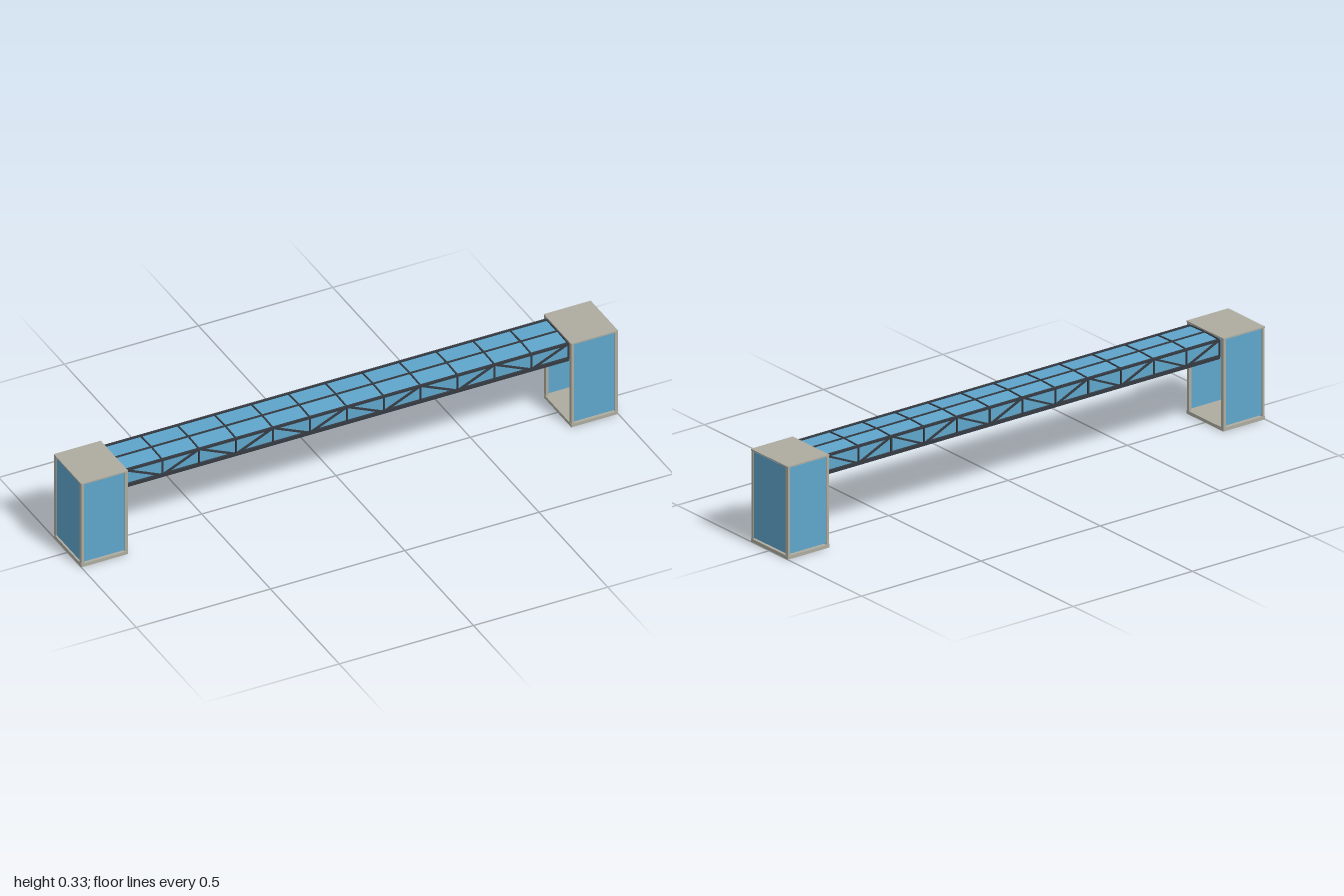
import * as THREE from 'three';

const concrete = new THREE.MeshStandardMaterial({ color: 0xaeaca0 });
concrete.name = 'concrete';
const glass = new THREE.MeshStandardMaterial({ color: 0x5fa5cb, side: THREE.DoubleSide });
glass.name = 'blue glass';
const steel = new THREE.MeshStandardMaterial({ color: 0x353a42 });
steel.name = 'dark steel';
const deck = new THREE.MeshStandardMaterial({ color: 0x4d535e });
deck.name = 'slate deck';

function box(parent, name, material, size, position) {
  const mesh = new THREE.Mesh(new THREE.BoxGeometry(...size), material);
  mesh.name = name;
  mesh.position.set(...position);
  parent.add(mesh);
  return mesh;
}

// Square bar running between two points
function bar(parent, name, a, b, thickness) {
  const from = new THREE.Vector3(...a), to = new THREE.Vector3(...b);
  const mesh = box(parent, name, steel, [thickness, thickness, from.distanceTo(to)], [0, 0, 0]);
  mesh.position.copy(from).add(to).multiplyScalar(0.5);
  mesh.lookAt(to);
  return mesh;
}

// Glazed stair tower, open towards the bridge
function createTower(side) {
  const tower = new THREE.Group();
  tower.name = side > 0 ? 'leftTower' : 'rightTower';
  const cx = side * 0.9125, width = 0.175, depth = 0.2;
  box(tower, 'base', concrete, [width, 0.012, depth], [cx, 0.006, 0]);
  box(tower, 'roofSlab', concrete, [width, 0.005, depth], [cx, 0.3305, 0]);
  for (const sx of [-1, 1]) {
    for (const sz of [-1, 1]) {
      box(tower, 'post', concrete, [0.01, 0.316, 0.012],
        [cx + sx * (width / 2 - 0.006), 0.17, sz * 0.093]);
    }
  }
  for (const sz of [-1, 1]) {
    box(tower, 'sideGlass', glass, [0.155, 0.308, 0.003], [cx, 0.171, sz * 0.094]);
  }
  box(tower, 'endGlass', glass, [0.003, 0.308, 0.174], [side * 0.995, 0.171, 0]);
  return tower;
}

// Enclosed truss walkway between the towers
function createWalkway() {
  const walkway = new THREE.Group();
  walkway.name = 'walkway';
  const half = 0.825, bays = 12, bay = (2 * half) / bays;
  const low = 0.261, high = 0.322, edge = 0.079, ridge = 0.325;

  box(walkway, 'deck', deck, [2 * half, 0.008, 0.156], [0, 0.258, 0]);

  for (const s of [-1, 1]) {
    box(walkway, 'bottomChord', steel, [2 * half, 0.012, 0.008], [0, low, s * edge]);
    box(walkway, 'topChord', steel, [2 * half, 0.008, 0.008], [0, high, s * edge]);
    box(walkway, 'sideGlass', glass, [2 * half, 0.06, 0.002], [0, 0.291, s * 0.073]);

    // Shallow pitched roof glass
    const pane = box(walkway, 'roofGlass', glass, [2 * half, 0.002, 0.076], [0, 0.3215, s * 0.038]);
    pane.rotation.x = s * Math.atan2(ridge - high, edge);

    // Verticals, alternating diagonals and roof rafters
    for (let i = 0; i <= bays; i++) {
      const x = -half + i * bay;
      bar(walkway, 'truss vertical', [x, low, s * edge], [x, high, s * edge], 0.005);
      bar(walkway, 'rafter', [x, high, s * edge], [x, ridge, 0], 0.005);
      if (i < bays) {
        const startY = i % 2 === 0 ? high : low;
        bar(walkway, 'truss diagonal', [x, startY, s * edge],
          [x + bay, low + high - startY, s * edge], 0.006);
      }
    }
  }
  box(walkway, 'ridgeBeam', steel, [2 * half, 0.005, 0.006], [0, ridge, 0]);
  return walkway;
}

export function createModel() {
  const model = new THREE.Group();
  model.name = 'footbridge';
  model.add(createTower(1), createTower(-1), createWalkway());
  return model;
}
